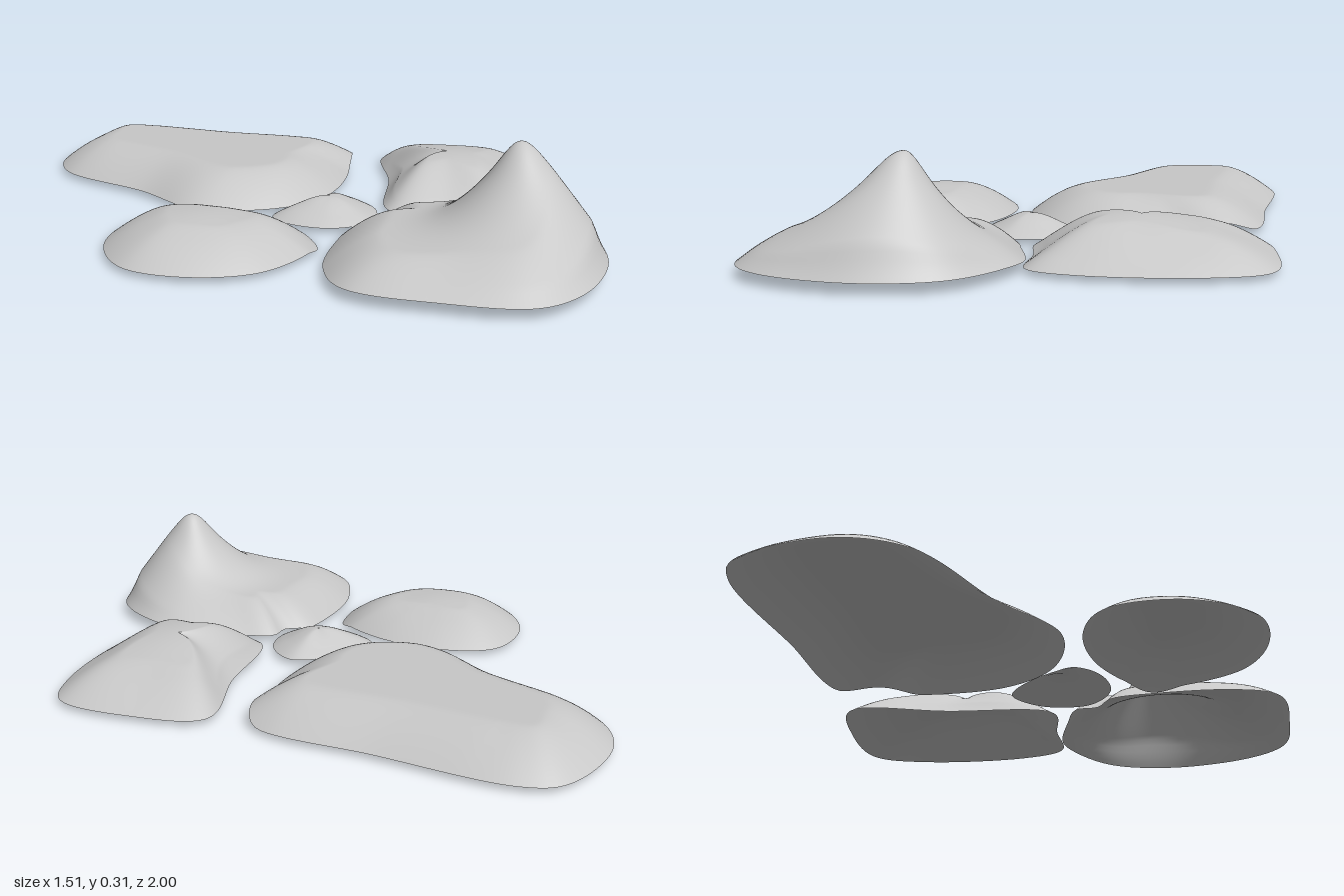
import * as THREE from 'three';
import { mergeVertices } from 'three/addons/utils/BufferGeometryUtils.js';

const SEGMENTS = 128, RINGS = 36, RIM_HEIGHT = 0.015;
const flat = () => 0;

// Soft round swelling, or a dip when h is negative
const swell = (cx, cz, radius, h) => (x, z) => {
  const s = Math.min(Math.hypot(x - cx, z - cz) / radius, 1);
  return h * (1 - s * s) ** 2;
};

// Broad hill with a small rounded cap, leaning a little towards the front
function peak(x, z) {
  const dx = x - 0.005, dz = z - 0.69;
  const r = Math.hypot(dx, dz) + 0.12 * dx - 0.2 * dz;
  return 0.17 * Math.exp(-((r / 0.16) ** 2)) + 0.047 * Math.exp(-((r / 0.06) ** 2));
}

// Open shell: rings shrink from the rim to a centre (or a central ridge) while rising.
// The rim runs anticlockwise seen from above.
function moundGeometry({ rim, from, to = from, top, slope, bump = flat, lift = flat }) {
  const curve = new THREE.CatmullRomCurve3(
    rim.map(([x, z]) => new THREE.Vector3(x, 0, z)), true);
  const outline = curve.getSpacedPoints(SEGMENTS).slice(0, SEGMENTS);
  const start = new THREE.Vector2(...from);
  const ridge = new THREE.Vector2(...to).sub(start);
  const positions = [], index = [];
  for (let r = 0; r <= RINGS; r++) {
    const t = r / RINGS;
    outline.forEach((p, i) => {
      // Nearest point of the ridge
      const q = new THREE.Vector2(p.x, p.z).sub(start);
      const along = THREE.MathUtils.clamp(q.dot(ridge) / (ridge.lengthSq() || 1), 0, 1);
      q.copy(start).addScaledVector(ridge, along);

      const x = p.x + (q.x - p.x) * t, z = p.z + (q.y - p.z) * t;
      const d = Math.hypot(q.x - p.x, q.y - p.z) * t;
      const rise = 1 - (1 - Math.min(d / slope, 1)) ** 1.6;
      const base = RIM_HEIGHT + lift(p.x, p.z);
      positions.push(x, base + (top - base) * rise + bump(x, z) * Math.min(1, d / 0.04), z);
      if (r < RINGS) {
        const j = (i + 1) % SEGMENTS, a = r * SEGMENTS, b = a + SEGMENTS;
        index.push(a + i, a + j, b + i, a + j, b + j, b + i);
      }
    });
  }
  const shell = new THREE.BufferGeometry();
  shell.setAttribute('position', new THREE.Float32BufferAttribute(positions, 3));
  shell.setIndex(index);
  const geometry = mergeVertices(shell, 1e-5);
  geometry.computeVertexNormals();
  return geometry;
}

export function createModel() {
  const group = new THREE.Group();
  group.name = 'moundCluster';
  const grey = new THREE.MeshStandardMaterial({ color: 0xc8c8c8, side: THREE.DoubleSide });
  grey.name = 'light grey';

  function addMound(name, shape) {
    const mesh = new THREE.Mesh(moundGeometry(shape), grey);
    mesh.name = name;
    group.add(mesh);
  }

  // Long flat-topped mound, its front corner edge lifted
  addMound('backMound', {
    rim: [[0.05, -1], [-0.2, -0.93], [-0.31, -0.78], [-0.29, -0.45], [-0.3, -0.2], [-0.14, -0.03],
      [0.05, -0.01], [0.3, -0.14], [0.435, -0.275], [0.3, -0.6], [0.14, -0.94]],
    from: [-0.06, -0.74], to: [0.06, -0.28], top: 0.1, slope: 0.17,
    lift: swell(0.37, -0.2, 0.13, 0.028),
  });

  // Domed mound
  addMound('rightMound', {
    rim: [[0.51, -0.165], [0.3, 0.02], [0.06, 0.225], [0.15, 0.37], [0.24, 0.51], [0.38, 0.49],
      [0.65, 0.32], [0.75, 0.18], [0.66, -0.02]],
    from: [0.37, 0.19], top: 0.095, slope: 0.2,
    bump: swell(0.33, 0.2, 0.27, 0.032),
  });

  // Low round mound with one corner touching the ground
  addMound('leftMound', {
    rim: [[-0.47, -0.245], [-0.66, -0.16], [-0.755, 0.03], [-0.68, 0.21], [-0.53, 0.31],
      [-0.28, 0.255], [-0.25, 0.05], [-0.34, -0.16]],
    from: [-0.5, 0.03], top: 0.093, slope: 0.17,
    bump: swell(-0.5, 0.03, 0.15, 0.008),
    lift: swell(-0.28, 0.255, 0.1, -RIM_HEIGHT),
  });

  // Small middle mound
  addMound('centreMound', {
    rim: [[-0.2, 0.01], [-0.22, 0.09], [-0.17, 0.205], [-0.06, 0.25], [0.05, 0.175], [0.07, 0.05],
      [-0.08, -0.01]],
    from: [-0.07, 0.11], top: 0.06, slope: 0.13,
    bump: swell(-0.07, 0.11, 0.1, 0.008),
  });

  // Peaked mound, its outer rim raised off the ground
  addMound('frontMound', {
    rim: [[-0.24, 0.285], [-0.42, 0.4], [-0.52, 0.56], [-0.44, 0.78], [-0.32, 0.96], [-0.18, 0.995],
      [0.05, 0.93], [0.2, 0.8], [0.24, 0.68], [0.22, 0.5], [0.07, 0.32], [-0.01, 0.255],
      [-0.07, 0.28], [-0.14, 0.25]],
    from: [-0.08, 0.65], top: 0.097, slope: 0.15, bump: peak,
    lift: (x, z) => 0.016 * THREE.MathUtils.smoothstep(z, 0.3, 0.6),
  });

  return group;
}
